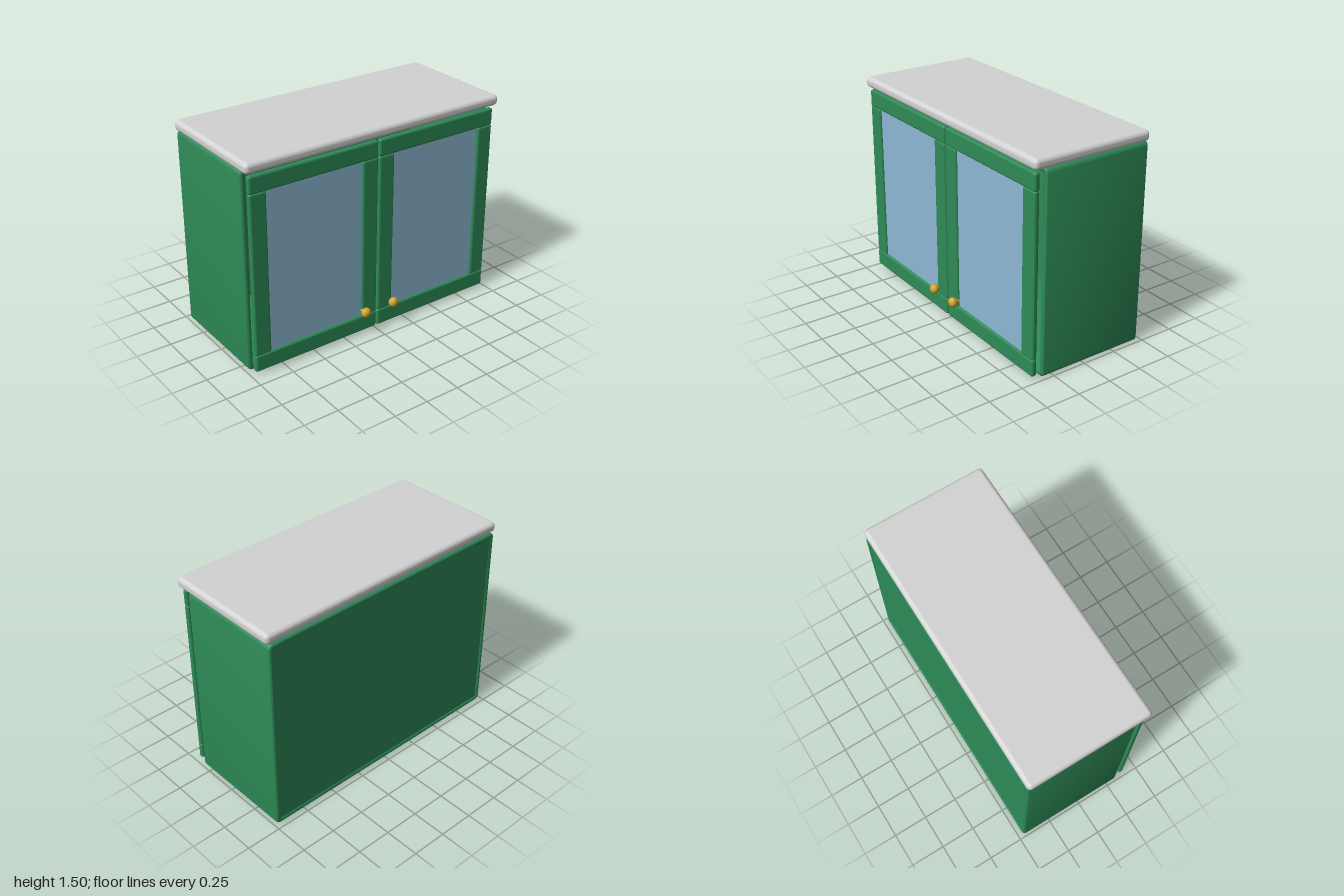
import * as THREE from 'three';
import { toCreasedNormals } from 'three/addons/utils/BufferGeometryUtils.js';
import { RoundedBoxGeometry } from 'three/addons/geometries/RoundedBoxGeometry.js';

const material = (name, color) => Object.assign(new THREE.MeshStandardMaterial({ color }), { name });

// Traces a rounded rectangle on a Shape or Path
function roundRect(path, x0, y0, x1, y1, r) {
  path.moveTo(x0 + r, y0);
  path.lineTo(x1 - r, y0);
  path.absarc(x1 - r, y0 + r, r, -Math.PI / 2, 0);
  path.lineTo(x1, y1 - r);
  path.absarc(x1 - r, y1 - r, r, 0, Math.PI / 2);
  path.lineTo(x0 + r, y1);
  path.absarc(x0 + r, y1 - r, r, Math.PI / 2, Math.PI);
  path.lineTo(x0, y0 + r);
  path.absarc(x0 + r, y0 + r, r, Math.PI, Math.PI * 1.5);
  return path;
}

export function createModel() {
  const green = material('green paint', 0x2e8b57);
  const stone = material('light grey worktop', 0xd3d3d3);
  const glass = material('blue glass', 0x8cb8d4);
  const brass = material('brass', 0xd4a52c);

  const model = new THREE.Group();
  model.name = 'cabinet';

  function add(parent, name, geometry, mat) {
    const mesh = new THREE.Mesh(geometry, mat);
    mesh.name = name;
    parent.add(mesh);
    return mesh;
  }

  // Box with softened edges, given by its two opposite corners
  function softBox(parent, name, mat, [x0, y0, z0], [x1, y1, z1], r) {
    const geometry = new RoundedBoxGeometry(x1 - x0, y1 - y0, z1 - z0, 4, r);
    const mesh = add(parent, name, geometry, mat);
    mesh.position.set((x0 + x1) / 2, (y0 + y1) / 2, (z0 + z1) / 2);
    return mesh;
  }

  // Carcass: hollow rounded frame running front to back
  const bevel = 0.018;
  const outline = roundRect(new THREE.Shape(), -0.985 + bevel, bevel, 0.985 - bevel, 1.43 - bevel, 0.018);
  outline.holes.push(roundRect(new THREE.Path(), -0.963, 0.022, 0.963, 1.408, 0.016));
  const depth = 0.795 - 2 * bevel;
  const frame = new THREE.ExtrudeGeometry(outline, {
    depth, bevelThickness: bevel, bevelSize: bevel, bevelSegments: 5, curveSegments: 6,
  });
  frame.translate(0, 0, -0.465 + bevel);
  add(model, 'carcass', toCreasedNormals(frame, 0.7), green);

  // Back panel, set just inside the frame
  const back = add(model, 'backPanel', new THREE.BoxGeometry(1.9, 1.36, 0.03), green);
  back.position.set(0, 0.715, -0.443);

  // Worktop
  softBox(model, 'worktop', stone, [-1, 1.43, -0.465], [1, 1.505, 0.425], 0.03);

  // Doors, mirrored about the middle
  for (const side of [-1, 1]) {
    const door = new THREE.Group();
    door.name = side > 0 ? 'leftDoor' : 'rightDoor';
    model.add(door);

    const part = (name, xa, xb, y0, y1) => softBox(door, name, green,
      [Math.min(side * xa, side * xb), y0, 0.365],
      [Math.max(side * xa, side * xb), y1, 0.405], 0.016);
    part('bottomRail', 0.004, 0.971, 0.025, 0.149);
    part('topRail', 0.004, 0.971, 1.288, 1.412);
    part('innerStile', 0.004, 0.128, 0.143, 1.294);
    part('outerStile', 0.847, 0.971, 0.143, 1.294);

    // Glass pane
    const pane = add(door, 'glassPane', new THREE.BoxGeometry(0.74, 1.16, 0.009), glass);
    pane.position.set(side * 0.4875, 0.7185, 0.385);

    // Knob on a short stem
    const stem = add(door, 'knobStem', new THREE.CylinderGeometry(0.014, 0.014, 0.04, 16), brass);
    stem.rotation.x = Math.PI / 2;
    stem.position.set(side * 0.117, 0.188, 0.41);
    const knob = add(door, 'knob', new THREE.SphereGeometry(0.035, 24, 16), brass);
    knob.scale.z = 0.85;
    knob.position.set(side * 0.117, 0.188, 0.437);
  }

  return model;
}
